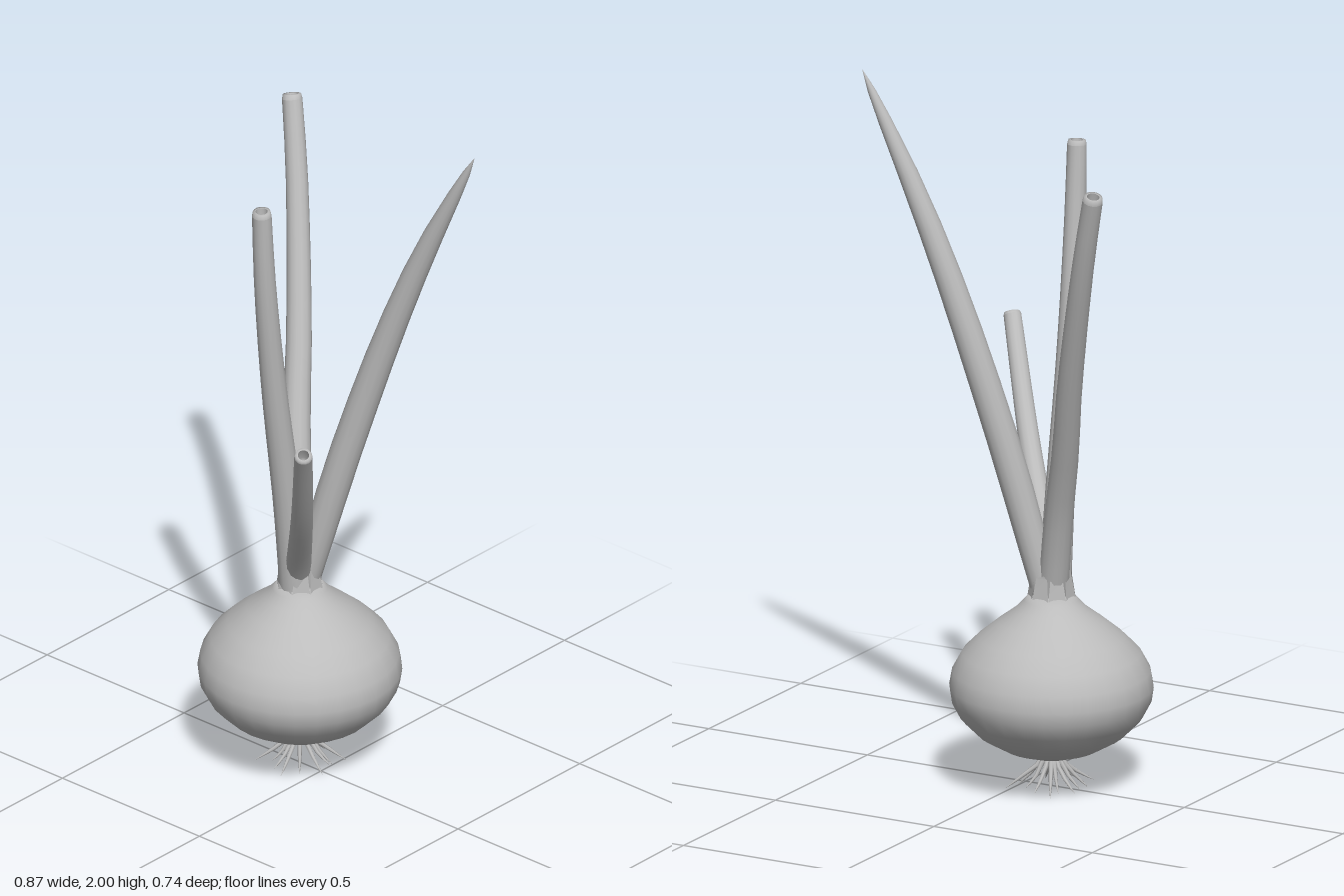
import * as THREE from 'three';

const skin = new THREE.MeshStandardMaterial({ color: 0xbcbcbc });
skin.name = 'plain grey';
skin.side = THREE.DoubleSide;
const CX = -0.088, CZ = -0.012; // axis of the bulb

function add(parent, name, geometry) {
  const mesh = new THREE.Mesh(geometry, skin);
  mesh.name = name;
  parent.add(mesh);
  return mesh;
}

// Round sections along a curve; each ring is [position along curve, radius]
function sweep(curve, rings, sides) {
  const chord = curve.getPoint(1).sub(curve.getPoint(0));
  const side = chord.cross(new THREE.Vector3(0, 1, 0)).normalize();
  const pos = [], index = [];
  rings.forEach(([u, r], i) => {
    const p = curve.getPointAt(u), t = curve.getTangentAt(u);
    const n1 = side.clone().addScaledVector(t, -side.dot(t)).normalize();
    const n2 = t.clone().cross(n1);
    for (let j = 0; j < sides; j++) {
      const a = (j / sides) * Math.PI * 2;
      const v = p.clone().addScaledVector(n1, r * Math.cos(a)).addScaledVector(n2, r * Math.sin(a));
      pos.push(v.x, v.y, v.z);
      if (i === 0) continue;
      const k = (j + 1) % sides, lo = (i - 1) * sides, hi = i * sides;
      index.push(lo + j, lo + k, hi + k, lo + j, hi + k, hi + j);
    }
  });
  const g = new THREE.BufferGeometry();
  g.setAttribute('position', new THREE.Float32BufferAttribute(pos, 3));
  g.setIndex(index);
  g.computeVertexNormals();
  return g;
}

const path = (points) => new THREE.CatmullRomCurve3(points.map((p) => new THREE.Vector3(...p)));

// Leaf cut straight across, with a hollow end
function cutLeaf(parent, name, points, r0, r1) {
  const leaf = new THREE.Group();
  leaf.name = name;
  parent.add(leaf);
  const curve = path(points), rings = [];
  for (let i = 0; i <= 12; i++) rings.push([(i / 12) * 0.99, r0 + (r1 - r0) * (i / 12)]);
  add(leaf, 'leafSkin', sweep(curve, rings, 14));
  add(leaf, 'cutRim', sweep(curve, [[0.99, r1], [1, r1 * 0.9], [1, r1 * 0.62]], 14));
  add(leaf, 'hollow', sweep(curve, [[1, r1 * 0.62], [0.95, r1 * 0.55], [0.95, 0.0005]], 14));
}

export function createModel() {
  const model = new THREE.Group();
  model.name = 'springOnion';

  // Bulb
  const profile = [
    [0, 0.088], [0.06, 0.092], [0.13, 0.115], [0.2, 0.155], [0.25, 0.205], [0.274, 0.25], [0.28, 0.29],
    [0.272, 0.335], [0.245, 0.385], [0.2, 0.43], [0.145, 0.475], [0.098, 0.51], [0.075, 0.535], [0.062, 0.55], [0, 0.552],
  ].map(([r, y]) => new THREE.Vector2(r, y));
  const bulb = add(model, 'bulb', new THREE.LatheGeometry(profile, 28));
  bulb.position.set(CX, 0, CZ);

  // Torn papery collar: tapered strips with pointed tops
  const collar = new THREE.Group();
  collar.name = 'collar';
  collar.position.set(CX, 0, CZ);
  model.add(collar);
  const strips = 8;
  for (let i = 0; i < strips; i++) {
    const mid = (i / strips) * Math.PI * 2, h = Math.PI / strips;
    const tip = 0.615 + 0.035 * ((i * 3) % 4) / 3;
    const at = (a, r, y) => [Math.sin(mid + a) * r, y, Math.cos(mid + a) * r];
    const g = new THREE.BufferGeometry();
    g.setAttribute('position', new THREE.Float32BufferAttribute([
      ...at(-h, 0.068, 0.535), ...at(h, 0.068, 0.535), ...at(h * 0.8, 0.056, 0.605),
      ...at(-h * 0.8, 0.056, 0.605), ...at(h * 0.3, 0.054, tip),
    ], 3));
    g.setIndex([0, 1, 2, 0, 2, 3, 3, 2, 4]);
    g.computeVertexNormals();
    add(collar, 'collarStrip', g);
  }

  // Hollow cut leaves
  cutLeaf(model, 'tallBackLeaf', [
    [-0.09, 0.54, -0.01], [-0.14, 0.8, -0.06], [-0.195, 1.0, -0.12], [-0.245, 1.2, -0.185],
    [-0.355, 1.6, -0.3], [-0.413, 1.815, -0.345]], 0.043, 0.028);
  cutLeaf(model, 'tallFrontLeaf', [
    [-0.088, 0.54, 0.005], [-0.083, 0.8, 0.04], [-0.073, 1.2, 0.11], [-0.062, 1.55, 0.16], [-0.057, 1.79, 0.18]],
    0.045, 0.027);
  cutLeaf(model, 'shortLeaf', [
    [-0.095, 0.56, -0.01], [-0.055, 0.64, 0.03], [0.095, 0.9, 0.185], [0.245, 1.21, 0.348]], 0.036, 0.025);

  // Whole leaf ending in a point
  const whole = path([
    [-0.08, 0.54, -0.02], [-0.015, 0.8, -0.045], [0.038, 1.0, -0.068], [0.098, 1.2, -0.09],
    [0.165, 1.4, -0.108], [0.268, 1.66, -0.127], [0.432, 2.0, -0.144]]);
  const rings = [[0, 0.038], [0.1, 0.042], [0.2, 0.044], [0.3, 0.044], [0.4, 0.043], [0.5, 0.041], [0.6, 0.038],
    [0.7, 0.034], [0.8, 0.028], [0.9, 0.019], [0.96, 0.011], [1, 0.0005]];
  add(model, 'pointedLeaf', sweep(whole, rings, 14));

  // Roots fanning out below the bulb
  const roots = new THREE.Group();
  roots.name = 'roots';
  roots.position.set(CX, 0, CZ);
  model.add(roots);
  const count = 16;
  for (let i = 0; i < count; i++) {
    const a = (i / count) * Math.PI * 2 + 0.12 * Math.sin(i * 5);
    const reach = 0.105 + 0.022 * Math.sin(i * 2.4), low = 0.008 + 0.007 * Math.cos(i * 1.7);
    const at = (r, y) => [Math.sin(a) * r, y, Math.cos(a) * r];
    const curve = path([at(0.015, 0.105), at(0.035, 0.07), at(reach * 0.65, 0.035), at(reach, low)]);
    add(roots, 'root', sweep(curve, [[0, 0.008], [0.3, 0.007], [0.6, 0.0055], [0.85, 0.003], [1, 0.0004]], 6));
  }
  return model;
}
